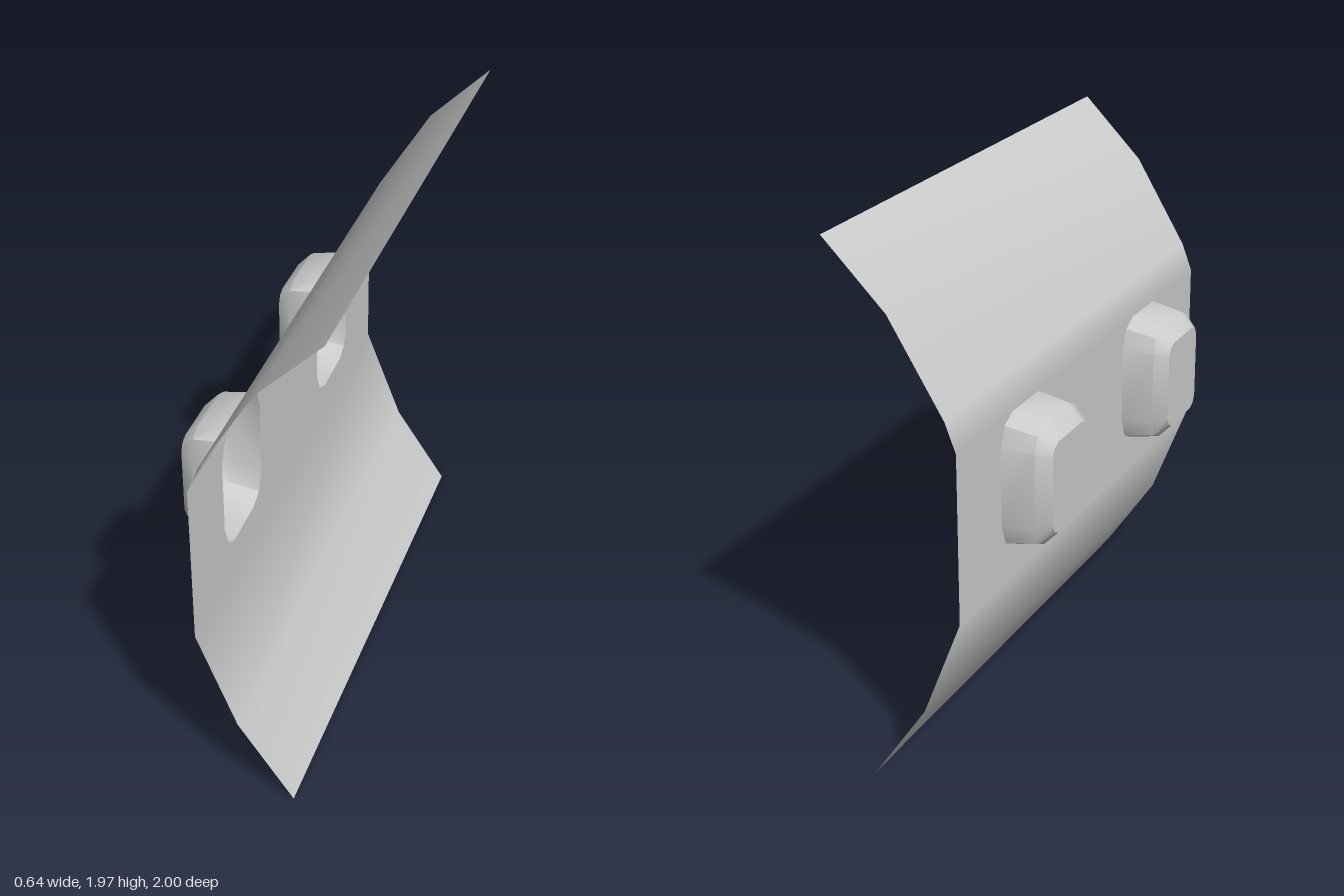
import * as THREE from 'three';
import { toCreasedNormals } from 'three/addons/utils/BufferGeometryUtils.js';

const material = new THREE.MeshStandardMaterial({ color: 0xcccccc, side: THREE.DoubleSide });

// Parts are drawn facing +z (width, height, depth), then turned to face +x.
function addPart(group, name, geometry) {
  const mesh = new THREE.Mesh(geometry.rotateY(Math.PI / 2), material);
  mesh.name = name;
  group.add(mesh);
}

// Curved sheet following [depth, height] points from top to bottom.
function curvedSheet(profile, flatRow) {
  const geo = new THREE.PlaneGeometry(2, 1, 1, profile.length - 1);
  const pos = geo.attributes.position;
  for (let i = 0; i < pos.count; i++) {
    const [depth, y] = profile[Math.floor(i / 2)];
    pos.setXYZ(i, pos.getX(i), y, depth);
  }
  geo.computeVertexNormals();
  // The row that meets the flat panel shades continuously with it.
  for (let k = 0; k < 2; k++) geo.attributes.normal.setXYZ(flatRow * 2 + k, 0, 0, 1);
  return geo;
}

// Rounded rectangle, counter-clockwise, with two-step corners.
function ring({ w, h, a, b, d }, cx, cy) {
  const corner = [[w, h - b], [w - d, h - d], [w - a, h]];
  const points = [];
  for (const [sx, sy] of [[1, 1], [-1, 1], [-1, -1], [1, -1]]) {
    const order = sx * sy > 0 ? corner : [...corner].reverse();
    for (const [x, y] of order) points.push(new THREE.Vector2(cx + sx * x, cy + sy * y));
  }
  return points;
}

const POCKET_Y = 1.05;
const POCKET_RINGS = [
  { depth: -0.15, w: 0.187, h: 0.25, a: 0.09, b: 0.11, d: 0.03 },
  { depth: -0.27, w: 0.172, h: 0.222, a: 0.07, b: 0.08, d: 0.022 },
  { depth: -0.32, w: 0.137, h: 0.17, a: 0.045, b: 0.045, d: 0.014 },
];

// Pocket: walls lofted through the rings, closed by a flat floor.
function pocketGeometry(cx) {
  const positions = [], index = [];
  for (const r of POCKET_RINGS)
    for (const p of ring(r, cx, POCKET_Y)) positions.push(p.x, p.y, r.depth);
  const n = 12, last = POCKET_RINGS.length - 1;
  for (let r = 0; r < last; r++) {
    for (let i = 0; i < n; i++) {
      const j = (i + 1) % n;
      const a = r * n + i, b = r * n + j, c = b + n, d = a + n;
      index.push(a, b, c, a, c, d);
    }
  }
  for (let i = 1; i < n - 1; i++) index.push(last * n, last * n + i, last * n + i + 1);
  const geo = new THREE.BufferGeometry();
  geo.setAttribute('position', new THREE.Float32BufferAttribute(positions, 3));
  geo.setIndex(index);
  return toCreasedNormals(geo, 0.62);
}

export function createModel() {
  const group = new THREE.Group();
  group.name = 'pocketedPanel';
  const top = 1.305, bottom = 0.68, centres = [-0.505, 0.505];

  // Flared top and bottom of the sheet
  addPart(group, 'upperSheet',
    curvedSheet([[0.32, 1.97], [0.09, 1.74], [-0.11, 1.41], [-0.15, top]], 3));
  addPart(group, 'lowerSheet',
    curvedSheet([[-0.15, bottom], [-0.005, 0.305], [0.2, 0]], 0));

  // Flat middle with an opening for each pocket
  const panel = new THREE.Shape([
    new THREE.Vector2(-1, bottom), new THREE.Vector2(1, bottom),
    new THREE.Vector2(1, top), new THREE.Vector2(-1, top),
  ]);
  for (const cx of centres)
    panel.holes.push(new THREE.Path(ring(POCKET_RINGS[0], cx, POCKET_Y).reverse()));
  addPart(group, 'middlePanel', new THREE.ShapeGeometry(panel).translate(0, 0, -0.15));

  // Recessed pockets
  centres.forEach((cx, i) => addPart(group, i ? 'backPocket' : 'frontPocket', pocketGeometry(cx)));
  return group;
}
